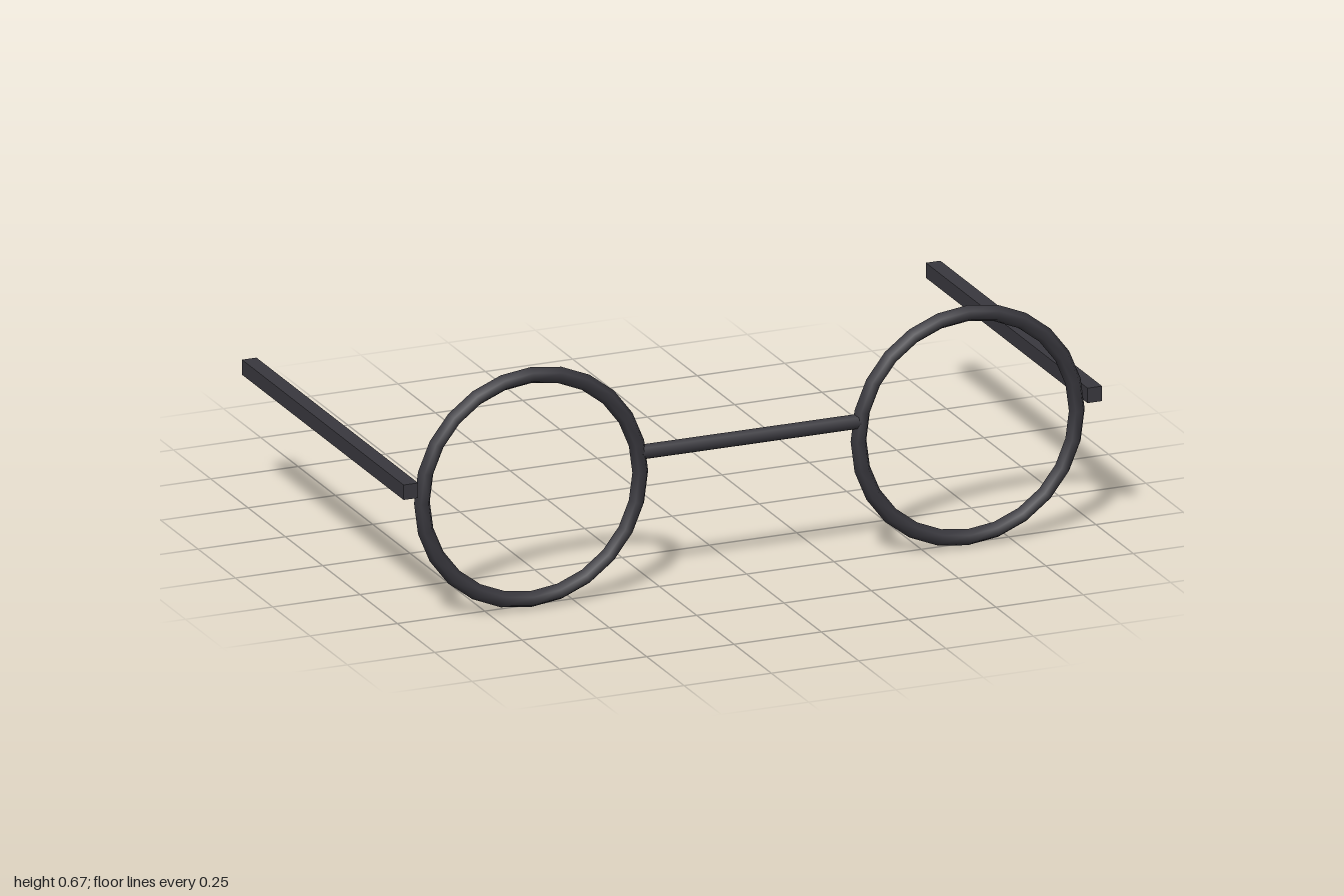
import * as THREE from 'three';

export function createModel() {
  const model = new THREE.Group();
  model.name = 'spectacles';
  const frame = new THREE.MeshStandardMaterial({ color: 0x39383e });

  const add = (name, geometry, x, y, z) => {
    const mesh = new THREE.Mesh(geometry, frame);
    mesh.name = name;
    mesh.position.set(x, y, z);
    model.add(mesh);
    return mesh;
  };

  // Round rims and straight temple arms, mirrored left and right
  const rim = new THREE.TorusGeometry(0.3125, 0.0225, 6, 24);
  const temple = new THREE.BoxGeometry(0.0417, 0.0417, 1.083);
  for (const [side, s] of [['left', 1], ['right', -1]]) {
    add(`${side}Rim`, rim, s * 0.625, 0.335, 0.518);
    add(`${side}Temple`, temple, s * 0.979, 0.379, 0);
  }

  // Bar joining the rims
  const bridge = add('bridge', new THREE.CylinderGeometry(0.021, 0.021, 0.625, 8), 0, 0.389, 0.518);
  bridge.rotation.z = Math.PI / 2;

  return model;
}
